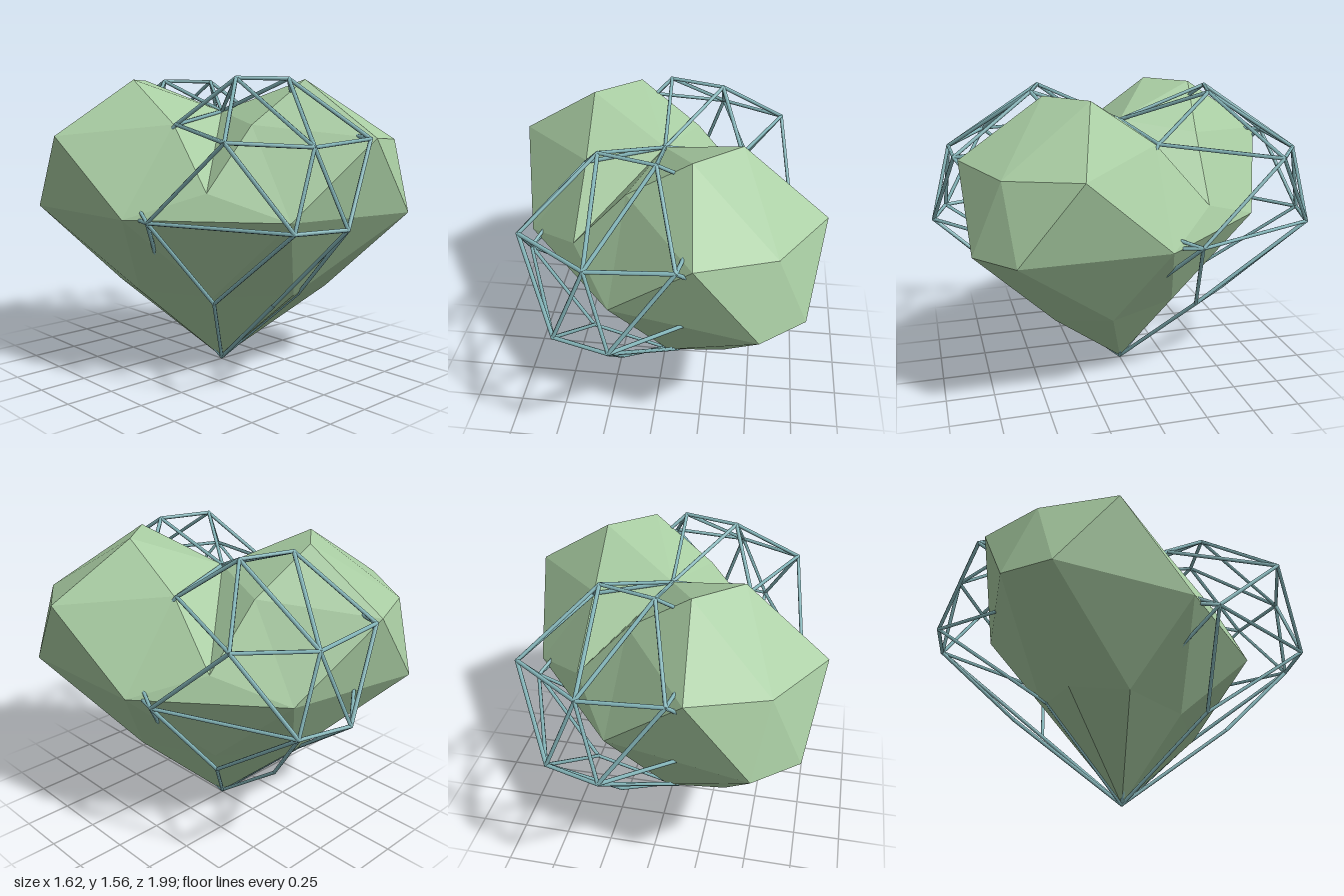
import * as THREE from 'three';
import { mergeGeometries } from 'three/addons/utils/BufferGeometryUtils.js';

// Corners of one quarter of the heart: x along the lobes, y up, z through the thickness
const CORNERS = {
  dip: [0, 1.38, 0], top: [0.447, 1.545, 0.146], shoulder: [0.195, 1.32, 0.35],
  waist: [0, 1.0, 0.55], cheek: [0.802, 1.26, 0.386], tipHigh: [0.915, 1.237, 0],
  tip: [0.985, 0.87, 0.139], side: [0.406, 0.87, 0.593],
  low: [0.408, 0.44, 0.245], lowEnd: [0.57, 0.44, 0], lowMid: [0, 0.44, 0.34],
  point: [0, 0.008, 0],
};

// Facets of one quarter; a trailing ~ mirrors across thickness, a trailing ^ mirrors to the other lobe
const FACETS = [
  'dip top top~', 'dip top shoulder', 'dip shoulder waist', 'top cheek shoulder',
  'cheek side shoulder', 'side waist shoulder', 'top tipHigh cheek', 'top top~ tipHigh',
  'cheek tipHigh tip', 'tipHigh tip tip~', 'cheek tip side', 'side tip low',
  'tip low lowEnd', 'tip tip~ lowEnd', 'low lowEnd point', 'side low lowMid',
  'low lowMid point', 'side side^ lowMid', 'side side^ waist',
];

// Struts of one quarter
const STRUTS = [
  'dip top', 'dip shoulder', 'top top~', 'top shoulder', 'top cheek', 'top tipHigh',
  'shoulder waist', 'shoulder cheek', 'cheek tipHigh', 'cheek tip', 'cheek side',
  'tipHigh tip', 'tip tip~', 'tip side', 'side side^', 'side waist', 'side lowMid',
  'side low', 'tip low', 'low point', 'lowEnd point', 'lowMid point',
];

function corner(name, sx, sz) {
  const [x, y, z] = CORNERS[name.replace(/[~^]/, '')];
  return new THREE.Vector3(
    x * sx * (name.endsWith('^') ? -1 : 1), y, z * sz * (name.endsWith('~') ? -1 : 1));
}

// Mirrors each entry into four quarters and drops repeats
function expand(list) {
  const found = new Map();
  for (const sx of [1, -1]) for (const sz of [1, -1]) for (const entry of list) {
    const pts = entry.split(' ').map((n) => corner(n, sx, sz));
    const key = pts.map((p) => p.toArray().map((c) => (c + 0).toFixed(3).replace('-0.000', '0.000')).join()).sort().join('|');
    found.set(key, pts);
  }
  return [...found.values()];
}

function solidHeart() {
  const center = new THREE.Vector3(0, 0.9, 0);
  const pts = [];
  for (const [a, b, c] of expand(FACETS)) {
    const normal = b.clone().sub(a).cross(c.clone().sub(a));
    const outward = normal.dot(a.clone().add(b).add(c).divideScalar(3).sub(center)) > 0;
    pts.push(...(outward ? [a, b, c] : [a, c, b]));
  }
  const geometry = new THREE.BufferGeometry().setFromPoints(pts);
  geometry.computeVertexNormals();
  return geometry;
}

function strut(a, b) {
  const dir = b.clone().sub(a);
  const geometry = new THREE.CylinderGeometry(0.01, 0.01, dir.length() + 0.008, 6);
  geometry.applyQuaternion(new THREE.Quaternion().setFromUnitVectors(
    new THREE.Vector3(0, 1, 0), dir.normalize()));
  const mid = a.clone().add(b).multiplyScalar(0.5);
  return geometry.translate(mid.x, mid.y, mid.z);
}

export function createModel() {
  const green = new THREE.MeshStandardMaterial({ color: 0xa8cca2, flatShading: true });
  green.name = 'sage green';
  const teal = new THREE.MeshStandardMaterial({ color: 0x86b8bc });
  teal.name = 'pale teal';

  const model = new THREE.Group();
  model.name = 'crossedHearts';

  // Faceted solid heart
  const heart = new THREE.Mesh(solidHeart(), green);
  heart.name = 'solidHeart';
  heart.rotation.y = -THREE.MathUtils.degToRad(50);
  model.add(heart);

  // Open heart of struts, turned across the solid one
  const bars = expand(STRUTS).map(([a, b]) => strut(a, b));
  for (const sx of [1, -1]) bars.push(strut(corner('tip~', sx, 1), corner('lowEnd', sx, 1)));
  const frame = new THREE.Mesh(mergeGeometries(bars), teal);
  frame.name = 'wireHeart';
  frame.rotation.y = -THREE.MathUtils.degToRad(106);
  model.add(frame);

  return model;
}
